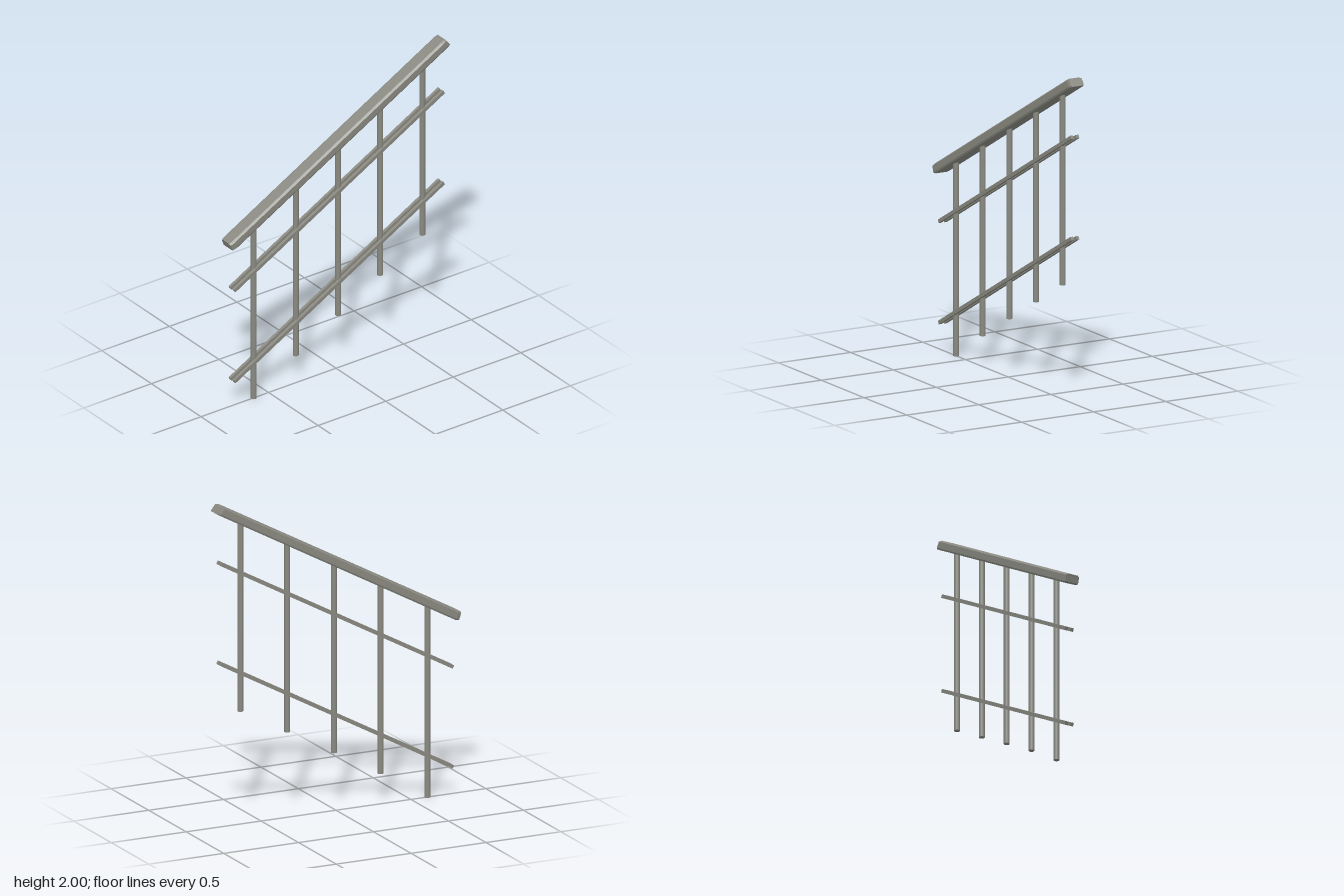
import * as THREE from 'three';

const SLOPE = 0.547; // rise per unit towards the back

export function createModel() {
  const group = new THREE.Group();
  const mat = new THREE.MeshStandardMaterial({ color: 0x8a8a82 });
  const flat = new THREE.MeshStandardMaterial({ color: 0x8a8a82, flatShading: true });

  // Handrail: a box with four height rows, each with its own half width and end positions,
  // and four stations along its length so that the ends taper slightly
  const rows = [
    { h: 0, x: 0.045, front: 0.78, back: -0.815 },
    { h: 0.011, x: 0.05, front: 0.8, back: -0.809 },
    { h: 0.055, x: 0.05, front: 0.813, back: -0.785 },
    { h: 0.066, x: 0.037, front: 0.817, back: -0.765 },
  ];
  const railGeo = new THREE.BoxGeometry(1, 1, 1, 1, 3, 3);
  const p = railGeo.attributes.position;
  for (let i = 0; i < p.count; i++) {
    const r = rows[Math.round((p.getY(i) + 0.5) * 3)];
    const station = Math.round((p.getZ(i) + 0.5) * 3);
    const z = [r.back, r.back + 0.018, r.front - 0.018, r.front][station];
    const taper = station === 0 || station === 3 ? 0.88 : 1;
    p.setXYZ(i, Math.sign(p.getX(i)) * r.x * taper, 1.517 + r.h - SLOPE * z, z);
  }
  railGeo.computeVertexNormals();
  const handrail = new THREE.Mesh(railGeo, flat);
  handrail.name = 'handrail';
  group.add(handrail);

  // Upright posts stepping up with the slope, tops buried in the handrail
  const bottoms = [0, 0.19, 0.362, 0.533, 0.704];
  bottoms.forEach((bottom, i) => {
    const z = 0.61 - i * 0.312;
    const top = 1.53 - SLOPE * z;
    const post = new THREE.Mesh(new THREE.CylinderGeometry(0.018, 0.018, top - bottom, 12), mat);
    post.position.set(0, (top + bottom) / 2, z);
    post.name = 'post' + (i + 1);
    group.add(post);
  });

  // Paired thin square rails, one on each side of the posts
  const barGeo = new THREE.BoxGeometry(0.019, 0.022, 1.55 * Math.hypot(1, SLOPE));
  barGeo.rotateX(Math.atan(SLOPE));
  for (const [name, y] of [['lowerRail', 0.597], ['upperRail', 1.22]]) {
    for (const side of [-1, 1]) {
      const bar = new THREE.Mesh(barGeo, mat);
      bar.position.set(side * 0.019, y, -0.005);
      bar.name = name + (side > 0 ? 'Left' : 'Right');
      group.add(bar);
    }
  }
  return group;
}
